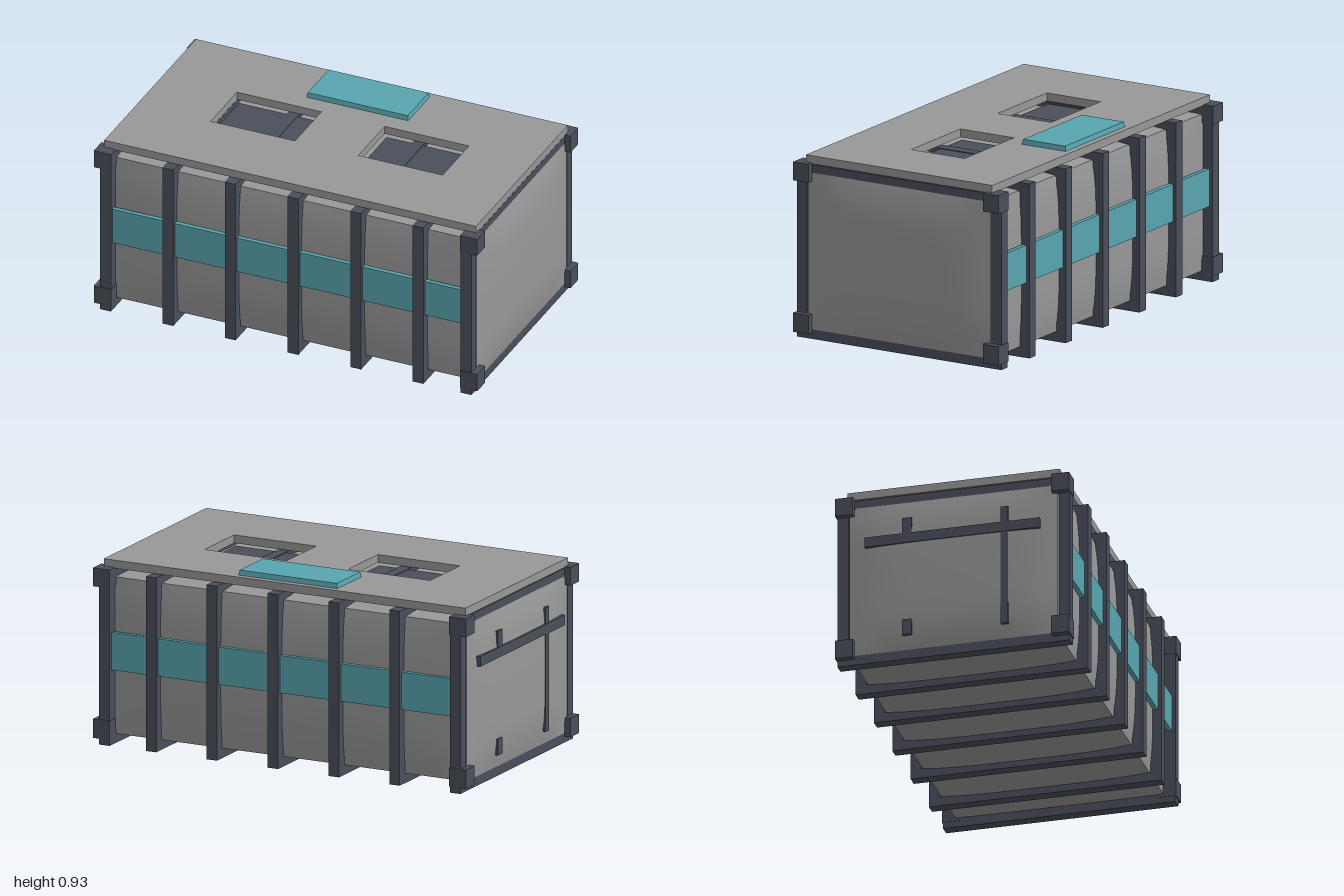
import * as THREE from 'three';

const grey = new THREE.MeshStandardMaterial({ color: 0x989898, name: 'panel grey' });
const dark = new THREE.MeshStandardMaterial({ color: 0x4a4f5a, name: 'frame slate' });
const teal = new THREE.MeshStandardMaterial({ color: 0x59a5af, name: 'accent teal' });

// Rectangle outline as a list of points
function rect(x0, y0, x1, y1) {
  return [[x0, y0], [x1, y0], [x1, y1], [x0, y1]].map(([x, y]) => new THREE.Vector2(x, y));
}

// Flat plate or ring cut from a shape with holes
function extrude(outline, holes, depth) {
  const shape = new THREE.Shape(outline);
  for (const h of holes) shape.holes.push(new THREE.Path(h));
  return new THREE.ExtrudeGeometry(shape, { depth, bevelEnabled: false });
}

// Box whose six faces swell outwards towards their middles
function bulgedBox(half, swell) {
  const geo = new THREE.BoxGeometry(2, 2, 2, 12, 12, 12);
  const pos = geo.attributes.position;
  const f = (t) => 1 - t ** 4;
  for (let i = 0; i < pos.count; i++) {
    const x = pos.getX(i), y = pos.getY(i), z = pos.getZ(i);
    pos.setXYZ(i,
      x * (half[0] + swell[0] * f(y) * f(z)),
      y * (half[1] + swell[1] * f(x) * f(z)),
      z * (half[2] + swell[2] * f(x) * f(y)));
  }
  geo.computeVertexNormals();
  return geo;
}

export function createModel() {
  const group = new THREE.Group();
  const add = (name, geo, mat, x = 0, y = 0, z = 0) => {
    const mesh = new THREE.Mesh(geo, mat);
    mesh.name = name;
    mesh.position.set(x, y, z);
    group.add(mesh);
    return mesh;
  };
  // Box given by its lower and upper limits
  const box = (name, mat, x0, x1, y0, y1, z0, z1) =>
    add(name, new THREE.BoxGeometry(x1 - x0, y1 - y0, z1 - z0), mat,
      (x0 + x1) / 2, (y0 + y1) / 2, (z0 + z1) / 2);

  // Container body
  add('body', bulgedBox([0.968, 0.385, 0.512], [0.028, 0.016, 0.022]), grey, 0, 0.437, 0);

  // Ring-shaped ribs around the body
  const ribWidth = 0.056;
  const ribGeo = extrude(rect(-0.572, 0.005, 0.572, 0.862), [rect(-0.518, 0.052, 0.518, 0.815)], ribWidth);
  ribGeo.translate(0, 0, -ribWidth / 2);
  ribGeo.rotateY(Math.PI / 2);
  for (const x of [-0.94, -0.615, -0.29, 0.037, 0.365, 0.69, 0.94]) add('rib', ribGeo, dark, x);

  // Corner blocks and side stripes
  for (const s of [-1, 1]) {
    for (const t of [-1, 1]) {
      for (const [y0, y1] of [[0.035, 0.128], [0.78, 0.87]]) {
        add('cornerBlock', new THREE.BoxGeometry(0.09, y1 - y0, 0.088), dark,
          s * 0.955, (y0 + y1) / 2, t * 0.532);
      }
    }
    add('sideStripe', new THREE.BoxGeometry(1.83, 0.185, 0.022), teal, 0, 0.467, s * 0.544);
  }

  // Roof slab with two openings, and the dark panes inside them
  const openings = [[-0.585, -0.145], [0.185, 0.625]];
  const roof = extrude(rect(-0.97, -0.522, 0.97, 0.522),
    openings.map(([a, b]) => rect(a, -0.15, b, 0.15)), 0.04);
  roof.rotateX(-Math.PI / 2);
  add('roofSlab', roof, grey, 0, 0.866, 0);
  for (const [a, b] of openings) {
    box('skylightPane', dark, a + 0.017, b - 0.018, 0.835, 0.859, -0.135, 0.132);
  }

  // Roof hatch with a tapered rim
  const hatch = new THREE.BoxGeometry(0.53, 0.025, 0.244);
  const p = hatch.attributes.position;
  for (let i = 0; i < p.count; i++) {
    if (p.getY(i) > 0) p.setXYZ(i, p.getX(i) * 0.985, p.getY(i), p.getZ(i) * 0.97);
  }
  hatch.computeVertexNormals();
  add('roofHatch', hatch, teal, 0, 0.918, -0.367);

  // Door fittings on the right-hand end
  box('doorCrossbar', dark, -1.0, -0.965, 0.6, 0.65, -0.43, 0.43);
  box('doorRod', dark, -0.998, -0.965, 0.12, 0.73, 0.24, 0.275);
  box('doorLatchUpper', dark, -0.998, -0.965, 0.64, 0.73, -0.245, -0.2);
  box('doorLatchLower', dark, -0.998, -0.965, 0.12, 0.2, -0.245, -0.2);

  return group;
}
